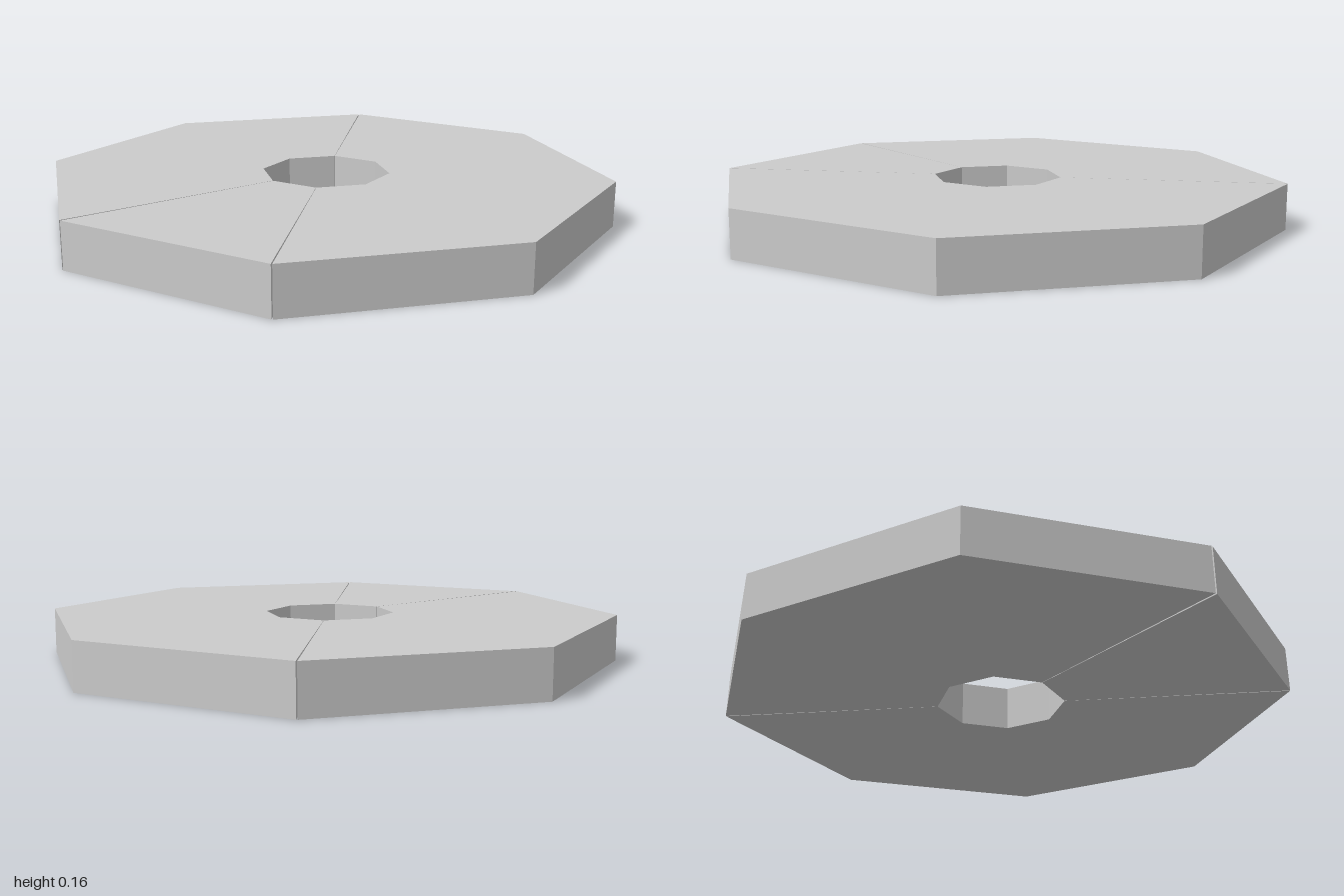
import * as THREE from 'three';

const OUTER = 1, INNER = 0.225, HEIGHT = 0.16, STEP = Math.PI / 4;

// One section of the octagonal ring between two corners, with hairline trims at its ends
function ringSection(first, last, trimStart, trimEnd, material) {
  const angles = [];
  for (let i = first; i <= last; i++) {
    angles.push(i * STEP + (i === first ? trimStart : 0) - (i === last ? trimEnd : 0));
  }
  const at = (r) => (a) => new THREE.Vector2(r * Math.cos(a), r * Math.sin(a));
  const shape = new THREE.Shape([
    ...angles.map(at(OUTER)),
    ...angles.slice().reverse().map(at(INNER)),
  ]);
  const geometry = new THREE.ExtrudeGeometry(shape, { depth: HEIGHT, bevelEnabled: false });
  geometry.rotateX(-Math.PI / 2);
  return new THREE.Mesh(geometry, material);
}

export function createModel() {
  const group = new THREE.Group();
  group.name = 'octagonalRing';
  const material = new THREE.MeshStandardMaterial({ color: 0xcccccc, flatShading: true });

  // Corner indices run counter-clockwise from +x; the seams lie between sections
  const sections = [
    ['smallSectionRight', 0, 1, 0, 0.002],
    ['largeSectionBack', 1, 4, 0.002, 0.006],
    ['smallSectionLeft', 4, 5, 0, 0.002],
    ['largeSectionFront', 5, 8, 0.002, 0],
  ];
  for (const [name, first, last, trimStart, trimEnd] of sections) {
    const mesh = ringSection(first, last, trimStart, trimEnd, material);
    mesh.name = name;
    group.add(mesh);
  }
  return group;
}
